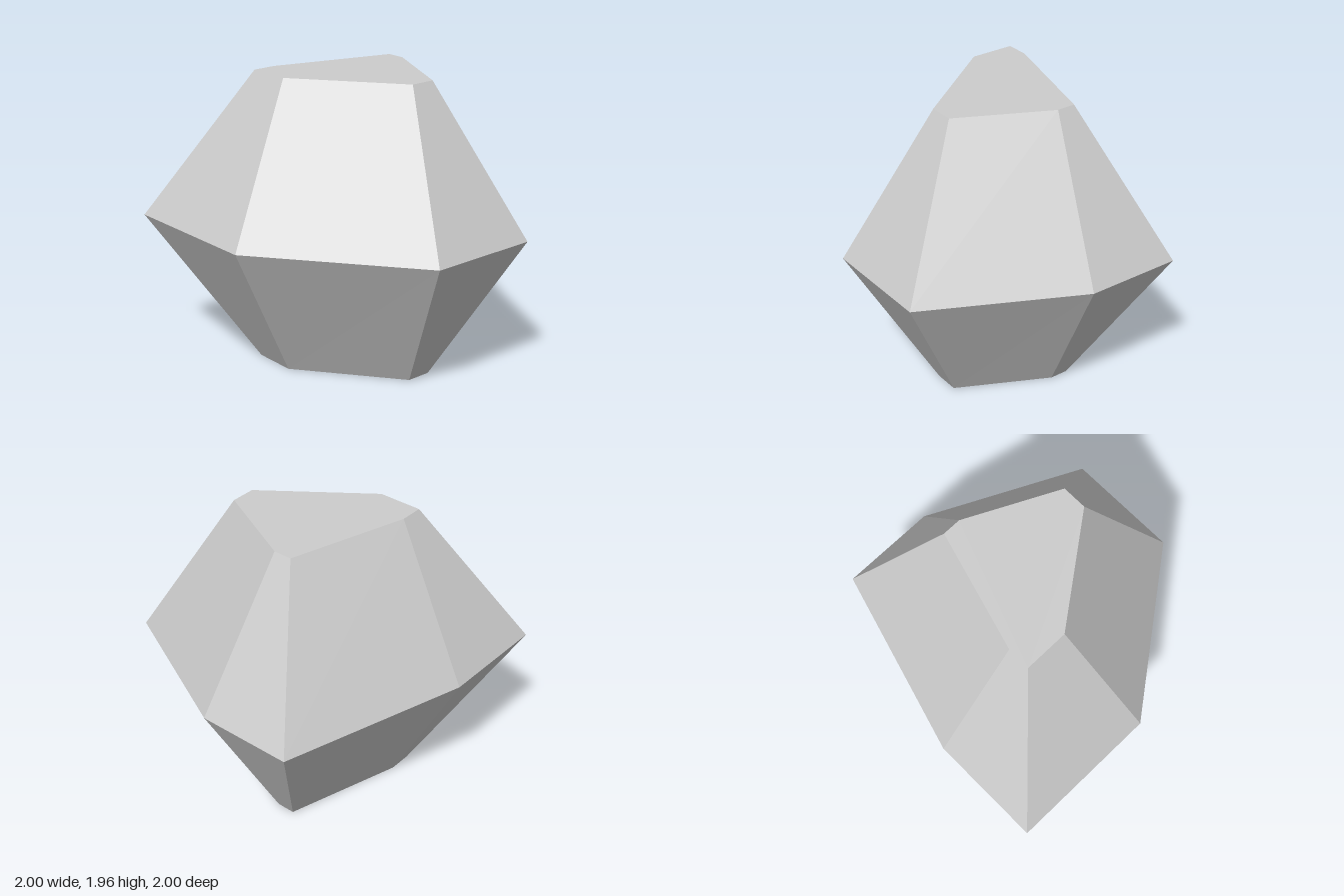
import * as THREE from 'three';

// Outlines as [x, z], clockwise seen from above
const WAIST = [[-1, -1], [-0.25, -1], [1, -0.64], [1, 0], [0.51, 1], [-0.245, 1], [-1, 0]];
const CAP = [[-0.47, -0.47], [-0.315, -0.47], [0.47, -0.243], [0.47, -0.12], [0.18, 0.47], [0.015, 0.47], [-0.47, -0.178]];
const HEIGHT = 1.964;

// Flat-faced solid lofted through the rings, closed at both ends
function loft(rings) {
  const positions = [];
  const tri = (a, b, c) => positions.push(...a, ...b, ...c);
  const n = rings[0].length;
  for (let r = 0; r < rings.length - 1; r++) {
    const lower = rings[r], upper = rings[r + 1];
    for (let i = 0; i < n; i++) {
      const j = (i + 1) % n;
      tri(lower[j], lower[i], upper[i]);
      tri(lower[j], upper[i], upper[j]);
    }
  }
  const bottom = rings[0], top = rings[rings.length - 1];
  for (let i = 1; i < n - 1; i++) {
    tri(bottom[0], bottom[i], bottom[i + 1]);
    tri(top[0], top[i + 1], top[i]);
  }
  const geometry = new THREE.BufferGeometry();
  geometry.setAttribute('position', new THREE.Float32BufferAttribute(positions, 3));
  geometry.computeVertexNormals();
  return geometry;
}

export function createModel() {
  const group = new THREE.Group();
  group.name = 'facetedRock';

  const stone = new THREE.MeshStandardMaterial({ color: 0xcccccc });
  stone.name = 'pale grey stone';

  // Wide waist tapering to matching flat ends
  const ring = (outline, y) => outline.map(([x, z]) => [x, y, z]);
  const rock = new THREE.Mesh(loft([ring(CAP, 0), ring(WAIST, HEIGHT / 2), ring(CAP, HEIGHT)]), stone);
  rock.name = 'rock';
  group.add(rock);
  return group;
}
